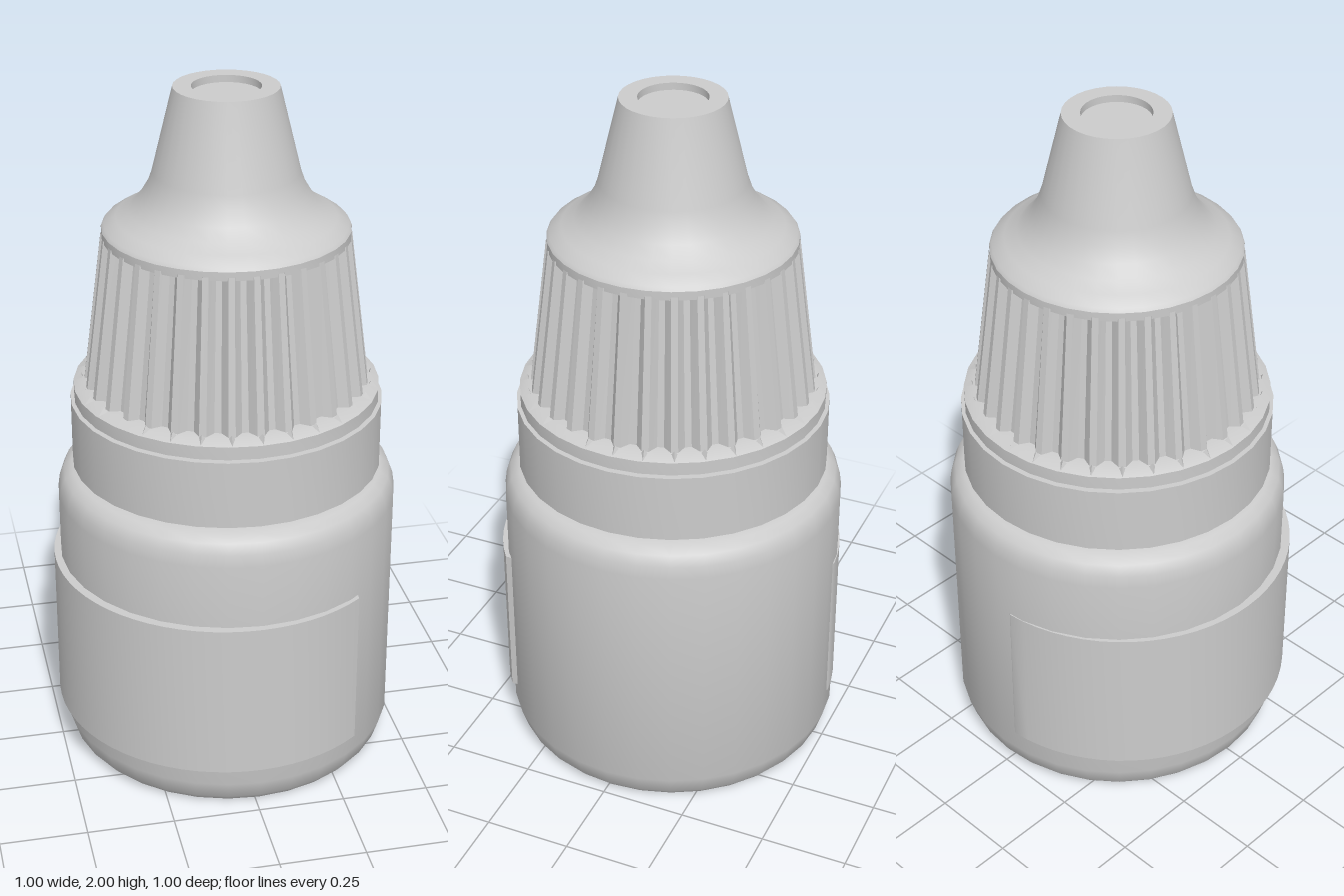
import * as THREE from 'three';
import { toCreasedNormals } from 'three/addons/utils/BufferGeometryUtils.js';

const material = new THREE.MeshStandardMaterial({ color: 0xcccccc });
const SEGMENTS = 32, RIBS = 32;
const CX = 0.01, CZ = -0.01; // bottle axis, nudged by the label's thickness

function addPart(group, name, geometry) {
  const mesh = new THREE.Mesh(geometry, material);
  mesh.name = name;
  group.add(mesh);
  return mesh;
}

// Profile [radius, height] from bottom to top, smooth around with crisp edges
function lathe(profile) {
  const points = profile.map(([r, y]) => new THREE.Vector2(r, y));
  return toCreasedNormals(new THREE.LatheGeometry(points, SEGMENTS), 0.6);
}

// Tapered grip: every second pair of columns sinks in to form a groove
function ribbedCone(rTop, rBottom, height, depth) {
  const geometry = new THREE.CylinderGeometry(rTop, rBottom, height, RIBS * 4, 1, true);
  const p = geometry.attributes.position, uv = geometry.attributes.uv;
  for (let i = 0; i < p.count; i++) {
    const column = Math.round(uv.getX(i) * RIBS * 4) % 4;
    if (column < 2) continue;
    const r = Math.hypot(p.getX(i), p.getZ(i)), k = (r - depth) / r;
    p.setX(i, p.getX(i) * k);
    p.setZ(i, p.getZ(i) * k);
  }
  return toCreasedNormals(geometry, 0.4);
}

export function createModel() {
  const model = new THREE.Group();
  model.name = 'dropperBottle';
  const bottle = new THREE.Group();
  bottle.name = 'bottle';
  bottle.position.set(CX, 0, CZ);
  model.add(bottle);

  // Body with a dished base and rounded shoulder
  addPart(bottle, 'body', lathe([
    [0, 0.02], [0.25, 0.015], [0.38, 0.005], [0.43, 0], [0.455, 0.005], [0.472, 0.025],
    [0.49, 0.08], [0.49, 0.8], [0.485, 0.835], [0.472, 0.865], [0.448, 0.882],
    [0.41, 0.889], [0.37, 0.89], [0.37, 0.92],
  ]));

  // Tamper ring below the cap
  addPart(bottle, 'tamperRing', lathe([
    [0.36, 0.9], [0.445, 0.9], [0.445, 1.097], [0.42, 1.097], [0.42, 1.103],
  ]));

  // Cap flange with a sloping upper edge
  addPart(bottle, 'capFlange', lathe([
    [0.4, 1.102], [0.435, 1.102], [0.435, 1.14], [0.41, 1.152], [0.37, 1.155],
  ]));

  // Ribbed grip
  const grip = addPart(bottle, 'capGrip', ribbedCone(0.346, 0.403, 0.44, 0.024));
  grip.position.y = 1.37;

  // Small teeth where the ribs run out onto the flange
  const teeth = new THREE.Group();
  teeth.name = 'capTeeth';
  bottle.add(teeth);
  const toothGeometry = new THREE.ConeGeometry(0.02, 0.025, 3).toNonIndexed();
  toothGeometry.computeVertexNormals();
  for (let i = 0; i < RIBS; i++) {
    const a = ((i + 0.12) / RIBS) * Math.PI * 2;
    const tooth = addPart(teeth, 'tooth', toothGeometry);
    tooth.position.set(Math.sin(a) * 0.413, 1.152, Math.cos(a) * 0.413);
    tooth.rotation.y = a;
  }

  // Domed shoulder, tapered tip and the shallow recess in its end
  addPart(bottle, 'capTip', lathe([
    [0.3, 1.58], [0.345, 1.58], [0.345, 1.605], [0.338, 1.615], [0.305, 1.635],
    [0.27, 1.656], [0.24, 1.687], [0.217, 1.725], [0.203, 1.765],
    [0.145, 2], [0.095, 2], [0.095, 1.98], [0, 1.98],
  ]));

  // Wrapped label, tapering into the body towards the back
  const start = THREE.MathUtils.degToRad(-265), end = THREE.MathUtils.degToRad(-52);
  const shape = new THREE.Shape();
  shape.absarc(0, 0, 0.5, start, end, false);
  shape.absarc(CX, -CZ, 0.485, end, start, true);
  const labelGeometry = new THREE.ExtrudeGeometry(shape, { depth: 0.47, bevelEnabled: false, curveSegments: 20 });
  labelGeometry.rotateX(-Math.PI / 2);
  const label = addPart(model, 'label', toCreasedNormals(labelGeometry, 0.6));
  label.position.y = 0.14;

  return model;
}
